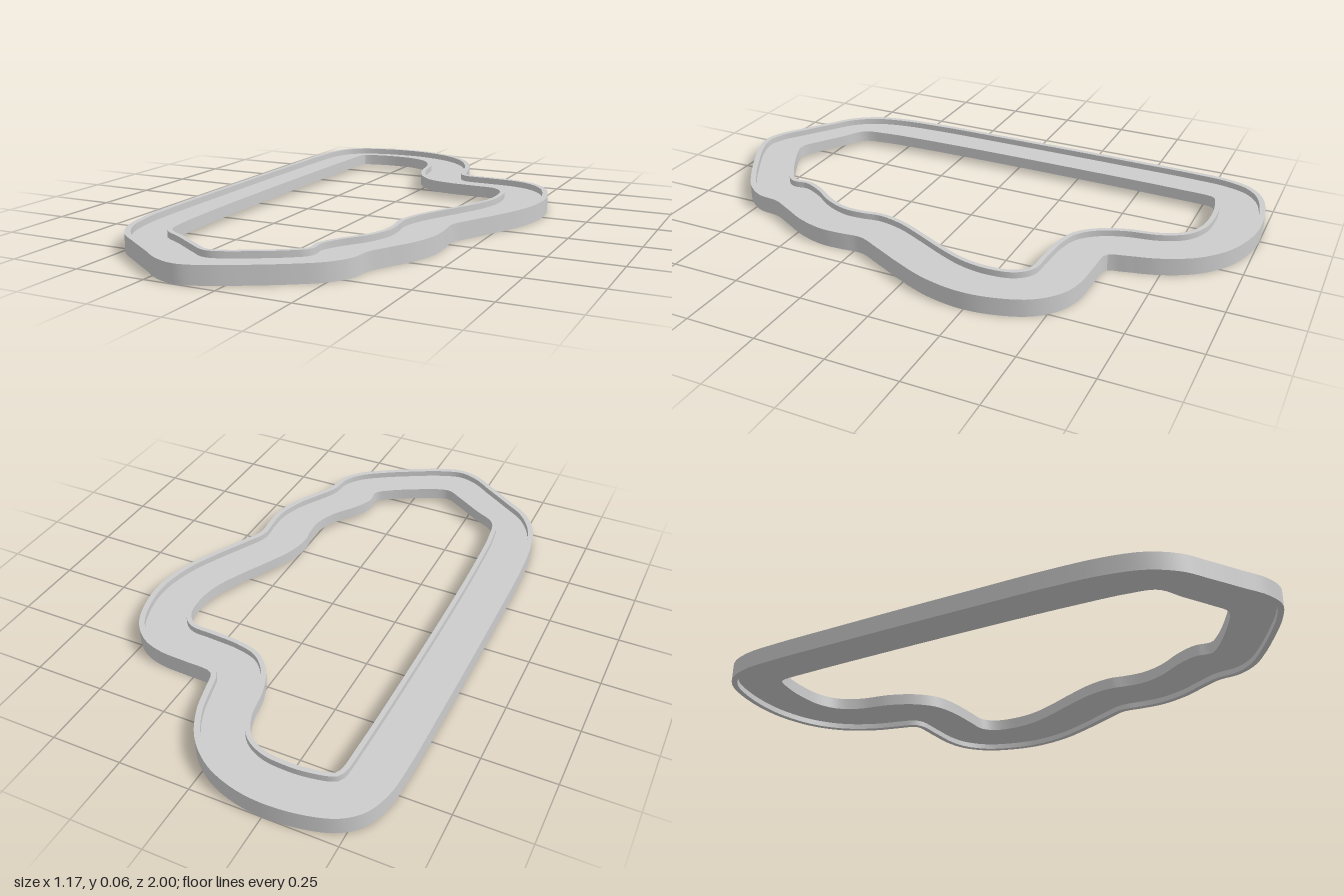
import * as THREE from 'three';
import { toCreasedNormals } from 'three/addons/utils/BufferGeometryUtils.js';

const HEIGHT = 0.0625, OUTER_RIM = 0.02, INNER_RIM = 0.017, FLOOR_LOW = 0.02, FLOOR_HIGH = 0.04;

// Control points (x, z) of the outer outline
const OUTER = [
  -0.583, -0.68, -0.586, -0.4, -0.587, -0.15, -0.586, 0.1, -0.583, 0.4, -0.57, 0.58, -0.54, 0.7,
  -0.48, 0.79, -0.4, 0.85, -0.3, 0.92, -0.22, 0.975, -0.14, 0.998, -0.05, 0.973, 0.06, 0.917,
  0.17, 0.852, 0.25, 0.792, 0.298, 0.72, 0.31, 0.64, 0.345, 0.57, 0.393, 0.48, 0.422, 0.38,
  0.422, 0.3, 0.417, 0.22, 0.453, 0.14, 0.513, 0.02, 0.563, -0.1, 0.587, -0.23, 0.577, -0.34,
  0.533, -0.46, 0.46, -0.532, 0.38, -0.56, 0.28, -0.567, 0.18, -0.573, 0.165, -0.585, 0.15, -0.64,
  0.12, -0.75, 0.06, -0.86, -0.03, -0.94, -0.14, -0.985, -0.25, -1, -0.38, -0.988, -0.48, -0.955,
  -0.54, -0.9, -0.573, -0.81,
];

// Control points (x, z) of the central opening
const INNER = [
  -0.403, -0.785, -0.395, -0.799, -0.33, -0.817, -0.25, -0.823, -0.16, -0.812, -0.095, -0.774,
  -0.052, -0.698, -0.028, -0.578, 0.013, -0.485, 0.075, -0.423, 0.16, -0.397, 0.27, -0.388,
  0.354, -0.38, 0.393, -0.337, 0.406, -0.25, 0.393, -0.163, 0.353, -0.064, 0.303, 0.036,
  0.253, 0.147, 0.234, 0.24, 0.243, 0.31, 0.243, 0.377, 0.214, 0.456, 0.154, 0.545,
  0.123, 0.617, 0.126, 0.676, 0.086, 0.713, -0.003, 0.767, -0.12, 0.821, -0.15, 0.821,
  -0.197, 0.793, -0.296, 0.728, -0.379, 0.674, -0.4, 0.58, -0.41, 0.4, -0.415, 0.15,
  -0.415, -0.3, -0.41, -0.65,
];

// Smooth closed loop through the control points, always counter-clockwise
function loop(flat) {
  const pts = [];
  for (let i = 0; i < flat.length; i += 2) pts.push(new THREE.Vector3(flat[i], flat[i + 1], 0));
  const curve = new THREE.CatmullRomCurve3(pts, true, 'centripetal');
  curve.arcLengthDivisions = 1500;
  const out = curve.getSpacedPoints(260).slice(0, -1).map((p) => new THREE.Vector2(p.x, p.y));
  return THREE.ShapeUtils.isClockWise(out) ? out.reverse() : out;
}

// Parallel loop, growing outward for a positive distance
function offset(pts, distance) {
  const n = pts.length;
  return pts.map((p, i) => {
    const t = pts[(i + 1) % n].clone().sub(pts[(i + n - 1) % n]).normalize();
    return new THREE.Vector2(p.x + t.y * distance, p.y - t.x * distance);
  });
}

// Flat ring between two loops, from height y0 to y1
function ring(name, outside, inside, y0, y1) {
  const shape = new THREE.Shape(outside);
  shape.holes.push(new THREE.Path(inside));
  let geo = new THREE.ExtrudeGeometry(shape, { depth: y1 - y0, bevelEnabled: false });
  geo.rotateX(Math.PI / 2);
  geo.translate(0, y1, 0);
  geo = toCreasedNormals(geo, 0.6);
  const mesh = new THREE.Mesh(geo, new THREE.MeshStandardMaterial({ color: 0xcccccc }));
  mesh.name = name;
  return mesh;
}

export function createModel() {
  const group = new THREE.Group();
  group.name = 'channelFrame';
  const outer = loop(OUTER), inner = loop(INNER);
  const outerChannel = offset(outer, -OUTER_RIM), innerChannel = offset(inner, INNER_RIM);
  // The outer rim reaches below the floor; the inner rim starts flush with its underside
  group.add(
    ring('outerRim', outer, outerChannel, 0, HEIGHT),
    ring('innerRim', innerChannel, inner, FLOOR_LOW, HEIGHT),
    ring('channelFloor', outerChannel, innerChannel, FLOOR_LOW, FLOOR_HIGH),
  );
  return group;
}
